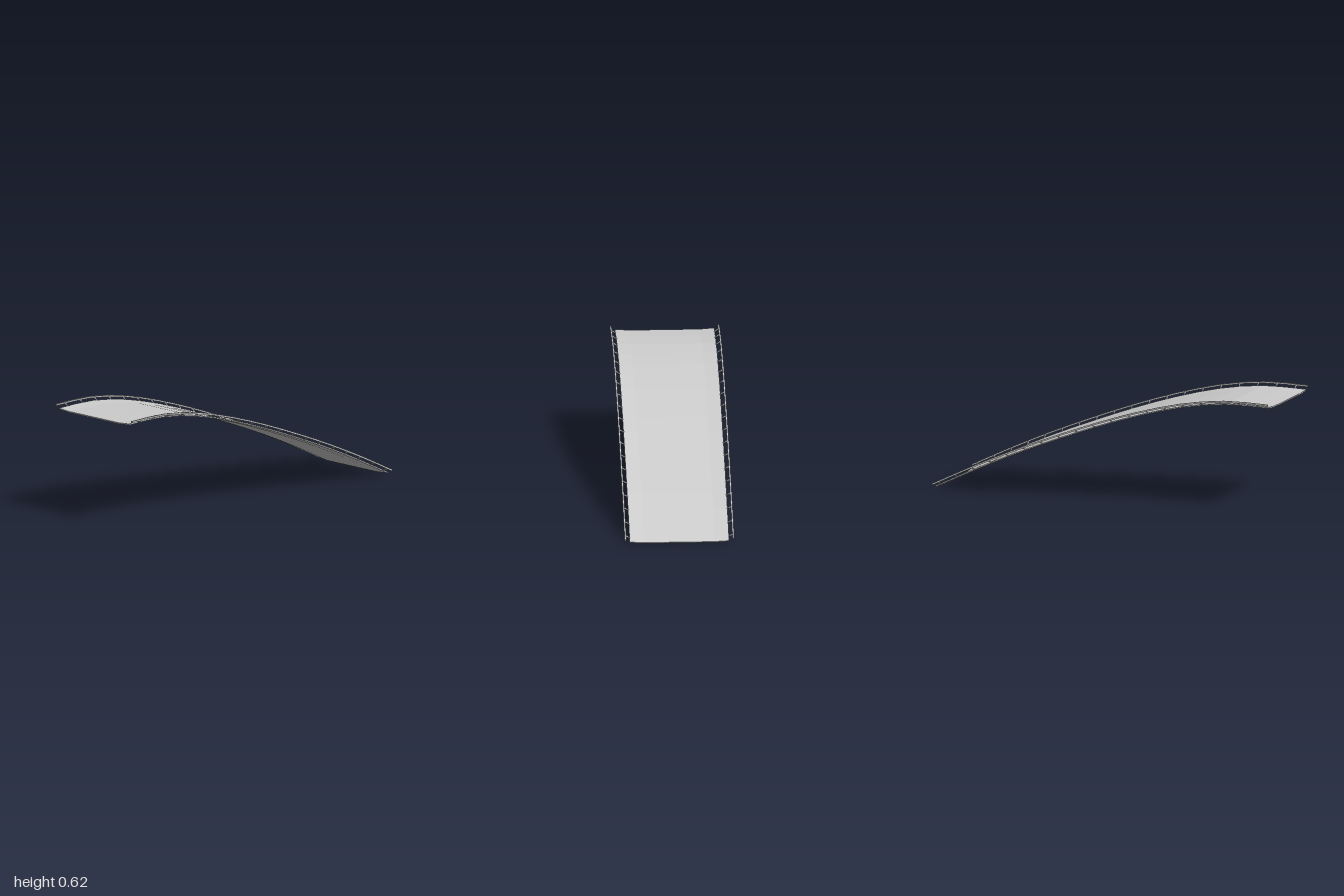
import * as THREE from 'three';

const STEPS = 16, STRUTS = 19, SKEW = 0.008;

// Centre line of the deck's upper surface
const path = new THREE.CatmullRomCurve3([
  [-1, 0.597], [-0.75, 0.6], [-0.5, 0.567], [-0.25, 0.505], [0, 0.425],
  [0.25, 0.333], [0.5, 0.233], [0.75, 0.122], [0.986, 0.008],
].map(([x, y]) => new THREE.Vector3(x, y, 0)));

// Point at fraction t along the path, z across it and n above it
function place(t, z, n) {
  const p = path.getPointAt(t), d = path.getTangentAt(t);
  const x = p.x - d.y * n;
  return [x, p.y + d.x * n, z + SKEW * x];
}

// Sweep a closed [z, n] section (lower side first, then upper side back) along the path
function sweep(section) {
  const n = section.length, pos = [], idx = [];
  for (let i = 0; i <= STEPS; i++) {
    for (const [z, h] of section) pos.push(...place(i / STEPS, z, h));
  }
  for (let i = 0; i < STEPS; i++) {
    for (let j = 0; j < n; j++) {
      const a = i * n + j, b = i * n + (j + 1) % n;
      idx.push(a, a + n, b, b, a + n, b + n);
    }
  }
  // End caps
  const e = STEPS * n;
  for (let j = 0; j < n / 2 - 1; j++) {
    const a = j, b = j + 1, c = n - 2 - j, d = n - 1 - j;
    idx.push(a, b, c, a, c, d, e + a, e + c, e + b, e + a, e + d, e + c);
  }
  const g = new THREE.BufferGeometry();
  g.setAttribute('position', new THREE.Float32BufferAttribute(pos, 3));
  g.setIndex(idx);
  g.computeVertexNormals();
  return g;
}

export function createModel() {
  const model = new THREE.Group();
  const mat = new THREE.MeshStandardMaterial({ color: 0xcccccc, flatShading: true });
  const add = (geometry, name) => {
    const mesh = new THREE.Mesh(geometry, mat);
    mesh.name = name;
    model.add(mesh);
    return mesh;
  };

  // Thin deck with gently raised edges
  add(sweep([
    [-0.274, -0.001], [-0.195, -0.007], [0.195, -0.007], [0.274, -0.001],
    [0.274, 0.006], [0.195, 0], [-0.195, 0], [-0.274, 0.006],
  ]), 'deck');

  for (const s of [-1, 1]) {
    const side = s > 0 ? 'front' : 'back';

    // Slim rail standing off the deck edge
    const z = s * 0.2975, r = 0.0045;
    add(sweep([[z - r, 0.0155], [z + r, 0.0155], [z + r, 0.0245], [z - r, 0.0245]]), side + 'Rail');

    // Slanted struts, wider at the rail
    for (let i = 0; i < STRUTS; i++) {
      const t = 0.033 + 0.95 * i / (STRUTS - 1);
      const foot = new THREE.Vector3(...place(t, s * 0.27, 0.003));
      const head = new THREE.Vector3(...place(t, s * 0.296, 0.019));
      const g = new THREE.CylinderGeometry(0.006, 0.003, foot.distanceTo(head), 4);
      const strut = add(g, side + 'Strut');
      strut.position.copy(foot).lerp(head, 0.5);
      strut.quaternion.setFromUnitVectors(new THREE.Vector3(0, 1, 0), head.sub(foot).normalize());
    }
  }
  return model;
}
